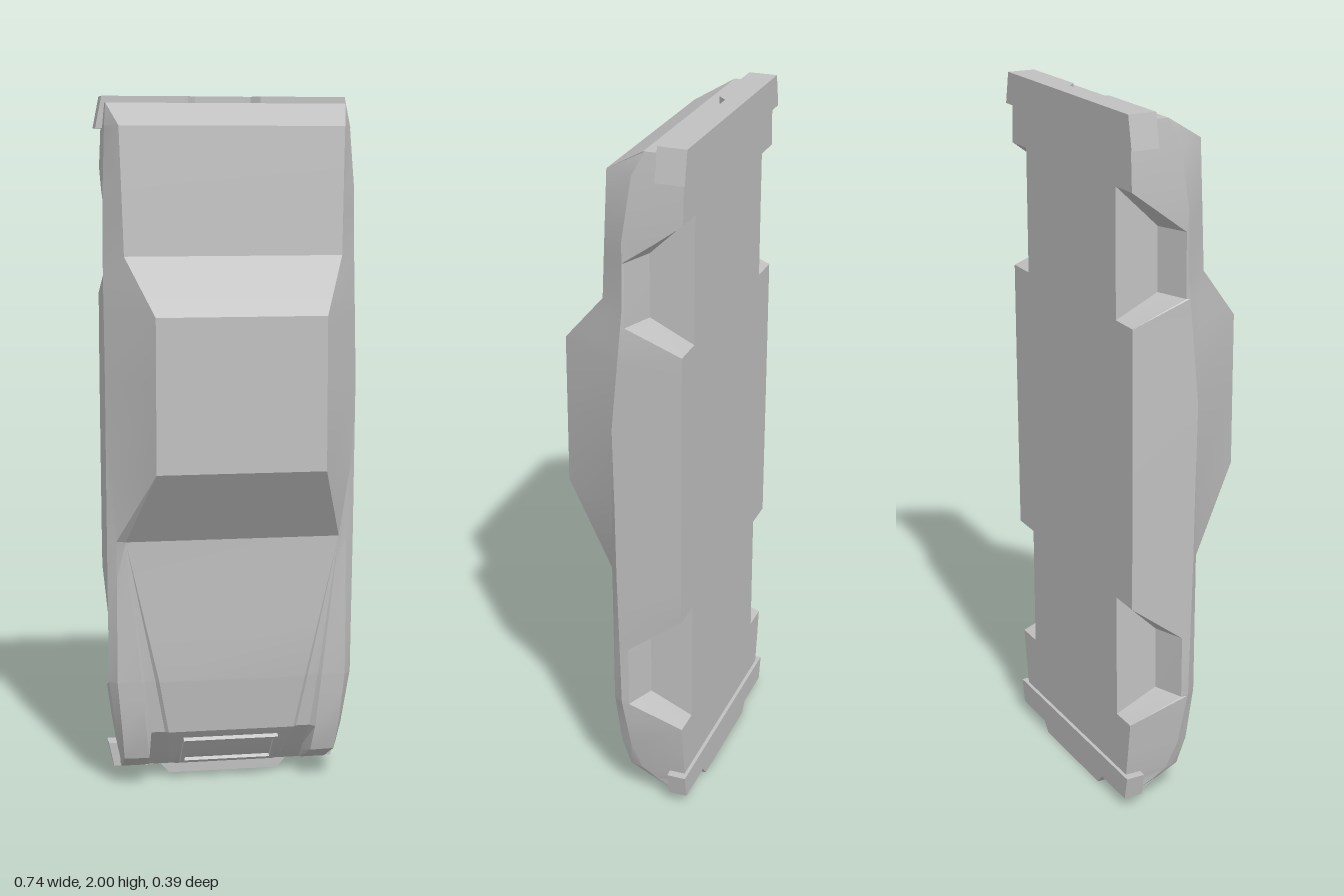
import * as THREE from 'three';
import { toCreasedNormals } from 'three/addons/utils/BufferGeometryUtils.js';

const FLOOR = -0.18, INNER = 0.265;

// Upper half-profile along the car, nose (low y) to tail. Points as [x, z]:
// shoulder, fender outer, fender inner, valley outer, valley inner, hood/roof edge
const same = (y, shoulder, top) => [y, [shoulder, shoulder, top, top, top, top]];
const KEYS = [
  [0.03, [[0.31, -0.15], [0.31, -0.13], [0.24, -0.13], [0.23, -0.135], [0.155, -0.135], [0.145, -0.13]]],
  [0.06, [[0.315, -0.09], [0.31, -0.07], [0.24, -0.07], [0.23, -0.1], [0.17, -0.1], [0.155, -0.08]]],
  [0.09, [[0.322, -0.05], [0.312, -0.01], [0.24, -0.005], [0.23, -0.07], [0.175, -0.07], [0.16, -0.05]]],
  [0.17, [[0.335, -0.02], [0.32, 0.015], [0.25, 0.02], [0.235, 0.005], [0.195, 0.005], [0.185, 0.015]]],
  [0.33, [[0.357, 0.0], [0.335, 0.03], [0.265, 0.035], [0.255, 0.027], [0.225, 0.027], [0.215, 0.037]]],
  [0.745, [[0.36, 0.01], [0.335, 0.033], [0.31, 0.045], [0.31, 0.045], [0.31, 0.045], [0.31, 0.045]]],
  [0.96, [[0.361, 0.013], [0.35, 0.024], [0.24, 0.2], [0.24, 0.2], [0.24, 0.2], [0.24, 0.2]]],
  same(1.2, [0.362, 0.018], [0.24, 0.2]),
  same(1.395, [0.362, 0.0], [0.24, 0.2]),
  same(1.555, [0.362, -0.015], [0.31, 0.06]),
  same(1.74, [0.36, -0.015], [0.315, 0.05]),
  same(1.915, [0.352, -0.04], [0.32, 0.04]),
  same(1.98, [0.345, -0.075], [0.345, -0.07]),
];

// Wheel wells: [y, 0 = closed, 1 = full height]
const WELLS = [[0.27, 0], [0.325, 1], [0.51, 1], [0.635, 0], [1.44, 0], [1.5, 1], [1.68, 1], [1.8, 0]];

const mix = THREE.MathUtils.lerp;

function bracket(list, y) {
  let i = 0;
  while (i < list.length - 2 && list[i + 1][0] < y) i++;
  const t = THREE.MathUtils.clamp((y - list[i][0]) / (list[i + 1][0] - list[i][0]), 0, 1);
  return [list[i][1], list[i + 1][1], t];
}

// Closed cross-section at height y
function ring(y) {
  const [a, b, t] = bracket(KEYS, y);
  const upper = a.map((p, i) => [mix(p[0], b[i][0], t), mix(p[1], b[i][1], t)]);
  const open = mix(...bracket(WELLS, y));
  const half = [
    [INNER, FLOOR],
    [INNER, mix(FLOOR, -0.055, open)],
    [upper[0][0] - 0.004, mix(FLOOR, -0.02, open)],
    ...upper,
  ];
  const mirrored = half.map(([x, z]) => [-x, z]).reverse();
  return [...half, ...mirrored].map(([x, z]) => [x, y, z]);
}

function bodyGeometry() {
  const ys = [...new Set([...KEYS, ...WELLS].map((k) => k[0]))].sort((p, q) => p - q);
  const rings = ys.map(ring), n = rings[0].length, index = [];
  for (let i = 0; i < rings.length - 1; i++) {
    for (let j = 0; j < n; j++) {
      const k = (j + 1) % n;
      const a = i * n + j, b = i * n + k, c = a + n, d = b + n;
      index.push(a, c, b, b, c, d);
    }
  }
  // nose and tail caps
  const last = (rings.length - 1) * n;
  for (let j = 1; j < n - 1; j++) {
    index.push(0, j, j + 1, last, last + j + 1, last + j);
  }
  const g = new THREE.BufferGeometry();
  g.setAttribute('position', new THREE.Float32BufferAttribute(rings.flat(2), 3));
  g.setIndex(index);
  return toCreasedNormals(g, 0.4);
}

function extrude(points, depth) {
  const shape = new THREE.Shape(points.map(([x, y]) => new THREE.Vector2(x, y)));
  return new THREE.ExtrudeGeometry(shape, { depth, bevelEnabled: false });
}

export function createModel() {
  const model = new THREE.Group();
  model.name = 'carBody';
  const grey = new THREE.MeshStandardMaterial({ color: 0xc0c0c0 });
  grey.name = 'grey';

  const add = (name, geometry, parent = model) => {
    const mesh = new THREE.Mesh(geometry, grey);
    mesh.name = name;
    parent.add(mesh);
    return mesh;
  };

  add('bodyShell', bodyGeometry());

  // Front bumper with a protruding centre
  const right = [[0.345, 0.1], [0.33, 0.03], [0.19, 0.03], [0.165, 0.0]];
  const left = right.map(([x, y]) => [-x, y]).reverse();
  add('frontBumper', extrude([...left, ...right].reverse(), 0.055)).position.z = -0.19;

  // Rear bumper with a plate notch and ends tapering towards the tail
  const rear = extrude([
    [-0.37, 0.19], [-0.37, 0.11], [-0.105, 0.11], [-0.08, 0.135],
    [0.08, 0.135], [0.105, 0.11], [0.37, 0.11], [0.37, 0.19],
  ], 0.09);
  rear.rotateX(-Math.PI / 2);
  const p = rear.attributes.position;
  for (let i = 0; i < p.count; i++) {
    if (Math.abs(p.getX(i)) > 0.3 && p.getY(i) > 0.05) p.setX(i, Math.sign(p.getX(i)) * 0.352);
  }
  rear.computeVertexNormals();
  add('rearBumper', rear).position.y = 1.91;

  // Grille frame on the sloping nose
  const grille = new THREE.Group();
  grille.name = 'grille';
  grille.position.set(0, 0.098, -0.037);
  grille.rotation.x = 0.76;
  model.add(grille);
  for (const s of [-1, 1]) {
    add('grilleBar', new THREE.BoxGeometry(0.28, 0.012, 0.012), grille).position.y = s * 0.058;
    add('grillePost', new THREE.BoxGeometry(0.012, 0.128, 0.012), grille).position.x = s * 0.134;
  }
  return model;
}
